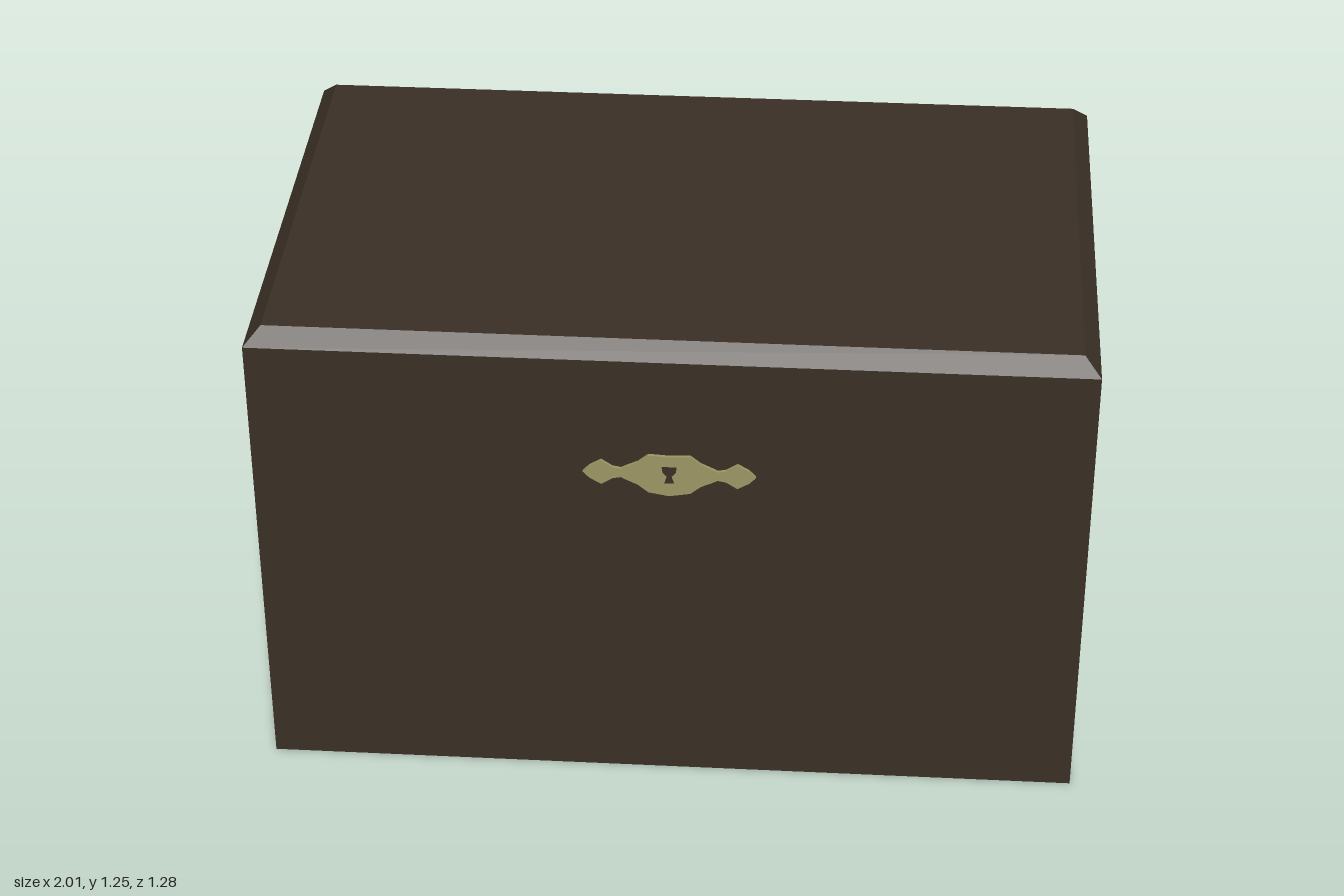
import * as THREE from 'three';

const FRONT = 0.634, BACK = -0.612, SEAM = 1.0;
const DEPTH = FRONT - BACK, MID = (FRONT + BACK) / 2;

export function createModel() {
  const chest = new THREE.Group();
  chest.name = 'chest';
  const wood = new THREE.MeshStandardMaterial({ name: 'darkWood', color: 0x3a2f25 });
  const brass = new THREE.MeshStandardMaterial({ name: 'brass', color: 0x9c9763 });
  const steel = new THREE.MeshStandardMaterial({ name: 'steel', color: 0x8c8c92 });

  const add = (name, geometry, material) => {
    const mesh = new THREE.Mesh(geometry, material);
    mesh.name = name;
    chest.add(mesh);
    return mesh;
  };

  // Box from y0 to y1 whose vertices are reshaped by a rule, with flat faces
  const block = (y0, y1, layers, rule) => {
    const box = new THREE.BoxGeometry(2, y1 - y0, DEPTH, 1, layers, 1);
    box.translate(0, (y0 + y1) / 2, MID);
    const p = box.attributes.position, v = new THREE.Vector3();
    for (let i = 0; i < p.count; i++) {
      rule(v.fromBufferAttribute(p, i));
      p.setXYZ(i, v.x, v.y, v.z);
    }
    const flat = box.toNonIndexed();
    flat.computeVertexNormals();
    return flat;
  };

  // Body: top dips slightly toward the back, leaving a hairline seam
  add('body', block(0, SEAM, 1, v => {
    if (v.y > 0.5 && v.z < 0) v.y -= 0.004;
  }), wood);

  // Lid: chamfered top edge, underside rising slightly toward the back
  add('lid', block(SEAM, 1.25, 2, v => {
    if (v.y > 1.2) {
      v.x *= 0.96;
      v.z -= Math.sign(v.z) * 0.038;
    } else if (v.y > 1.1) {
      v.y = 1.21;
    } else if (v.z < 0) {
      v.y += 0.005;
    }
  }), wood);

  // Hinge: three slightly skewed barrels [x start, z start, x end, z end]
  const barrels = [
    ['hingeBarrelRight', -1, -0.59, -0.8, -0.617],
    ['hingeBarrelMiddle', -0.8, -0.583, 0.8, -0.597],
    ['hingeBarrelLeft', 0.8, -0.59, 1, -0.617],
  ];
  for (const [name, x0, z0, x1, z1] of barrels) {
    const a = new THREE.Vector3(x0, SEAM, z0), b = new THREE.Vector3(x1, SEAM, z1);
    const barrel = add(name, new THREE.CylinderGeometry(0.025, 0.025, a.distanceTo(b), 8), steel);
    barrel.position.copy(a).add(b).multiplyScalar(0.5);
    barrel.quaternion.setFromUnitVectors(new THREE.Vector3(0, 1, 0), b.sub(a).normalize());
  }

  // Keyhole plate: lobed centre with a pointed diamond on each side
  const half = [
    [0.05, 0.053], [0.075, 0.032], [0.1, 0.02], [0.115, 0.012], [0.135, 0.016],
    [0.162, 0.034], [0.19, 0.017], [0.206, 0],
  ];
  const right = [...half, ...half.slice(0, -1).reverse().map(([x, y]) => [x, -y])];
  const left = [...right].reverse().map(([x, y]) => [-x, y]);
  const plate = new THREE.Shape([...right, [0, -0.062], ...left, [0, 0.05]]
    .map(([x, y]) => new THREE.Vector2(x, y)));
  plate.holes.push(new THREE.Path([
    [-0.018, 0.022], [0.018, 0.022], [0.016, 0.006], [0.006, -0.006],
    [0.012, -0.025], [-0.012, -0.025], [-0.006, -0.006], [-0.016, 0.006],
  ].map(([x, y]) => new THREE.Vector2(x, y))));
  const keyhole = add('keyholePlate',
    new THREE.ExtrudeGeometry(plate, { depth: 0.008, bevelEnabled: false }), brass);
  keyhole.position.set(0, 0.9, FRONT);

  return chest;
}
